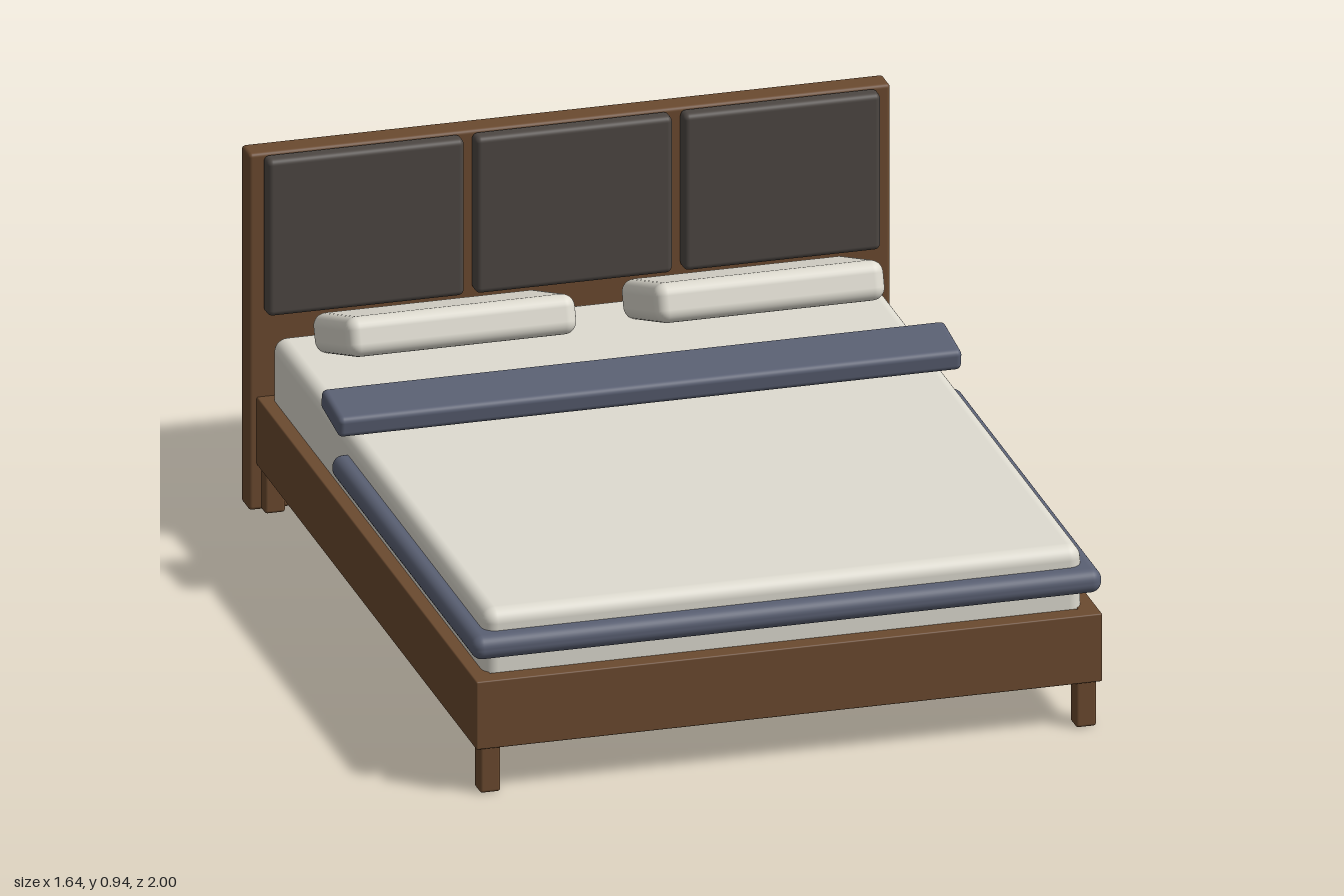
import * as THREE from 'three';
import { RoundedBoxGeometry } from 'three/addons/geometries/RoundedBoxGeometry.js';

export function createModel() {
  const bed = new THREE.Group();
  bed.name = 'bed';

  const paint = (color) => new THREE.MeshStandardMaterial({ color });
  const wood = paint(0x6b4a2f);
  const upholstery = paint(0x4d4743);
  const linen = paint(0xdedbd0);
  const slate = paint(0x5a6073);

  // Rounded box given by its extents [min, max] on each axis
  function block(name, material, [x0, x1], [y0, y1], [z0, z1], radius) {
    const geometry = new RoundedBoxGeometry(x1 - x0, y1 - y0, z1 - z0, 4, radius);
    const mesh = new THREE.Mesh(geometry, material);
    mesh.name = name;
    mesh.position.set((x0 + x1) / 2, (y0 + y1) / 2, (z0 + z1) / 2);
    bed.add(mesh);
    return mesh;
  }

  // Headboard with three padded panels
  block('headboard', wood, [-0.82, 0.82], [0, 0.945], [-1, -0.93], 0.01);
  for (const [i, name] of ['rightPanel', 'middlePanel', 'leftPanel'].entries()) {
    const x = (i - 1) * 0.532;
    block(name, upholstery, [x - 0.252, x + 0.252], [0.525, 0.94], [-0.935, -0.887], 0.015);
  }

  // Frame: front rail, side rails and the deck between them
  block('frontRail', wood, [-0.8, 0.8], [0.12, 0.3], [0.95, 1], 0.004);
  block('deck', wood, [-0.78, 0.78], [0.2, 0.25], [-0.94, 0.97], 0.004);
  for (const [side, s] of [['left', 1], ['right', -1]]) {
    const span = (a, b) => (s > 0 ? [a, b] : [-b, -a]);
    block(side + 'Rail', wood, span(0.75, 0.8), [0.12, 0.3], [-0.94, 0.96], 0.004);
    block(side + 'FrontLeg', wood, span(0.735, 0.788), [0, 0.125], [0.938, 0.992], 0.008);
    block(side + 'BackLeg', wood, span(0.735, 0.788), [0, 0.125], [-0.952, -0.898], 0.008);

    // Pillow leaning back with its front edge raised
    const pillow = block(side + 'Pillow', linen, span(0.1, 0.688), [0.5, 0.6], [-0.845, -0.5], 0.032);
    pillow.position.y = 0.55;
    pillow.rotation.x = -0.34;
  }

  // Mattress, tucked blanket and folded throw
  block('mattress', linen, [-0.765, 0.765], [0.22, 0.462], [-0.925, 0.952], 0.035);
  block('blanket', slate, [-0.805, 0.805], [0.348, 0.41], [-0.272, 0.995], 0.028);
  const throwFold = block('foldedThrow', slate, [-0.797, 0.797], [0.475, 0.53], [-0.383, -0.218], 0.015);
  throwFold.rotation.x = 0.12;

  return bed;
}
